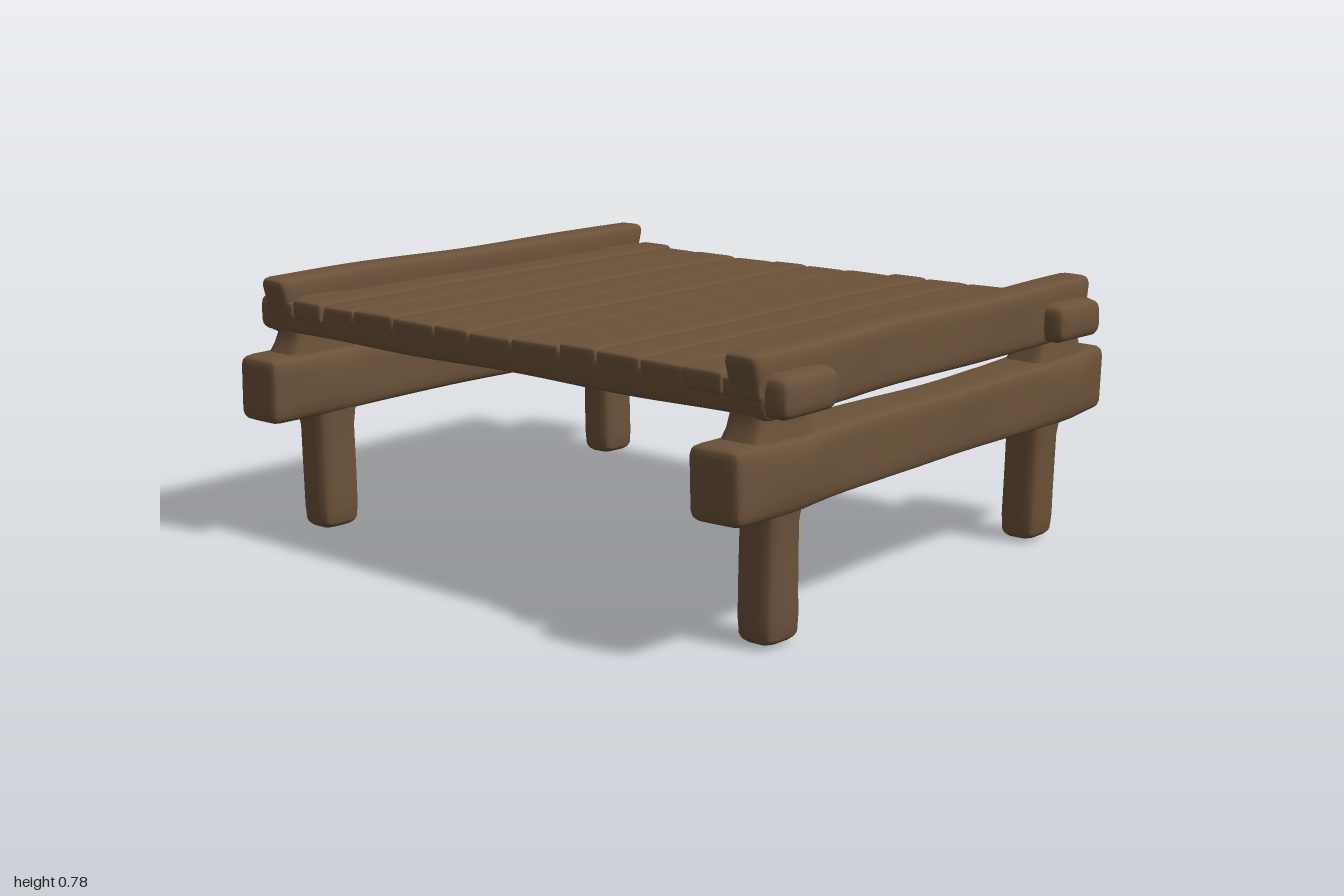
import * as THREE from 'three';
import { mergeVertices } from 'three/addons/utils/BufferGeometryUtils.js';

const wood = new THREE.MeshStandardMaterial({ color: 0x6b5239 });
wood.name = 'brown wood';

// Rounded, slightly uneven block given by its bounds [x0,x1], [y0,y1], [z0,z1].
function block(name, xs, ys, zs, r, warp, wobble = 0.004) {
  const lo = new THREE.Vector3(xs[0], ys[0], zs[0]);
  const hi = new THREE.Vector3(xs[1], ys[1], zs[1]);
  const half = hi.clone().sub(lo).multiplyScalar(0.5);
  const mid = hi.clone().add(lo).multiplyScalar(0.5);
  const seg = (h) => (h > 0.3 ? 32 : 8);
  let geo = new THREE.BoxGeometry(2, 2, 2, seg(half.x), seg(half.y), seg(half.z));
  geo.deleteAttribute('normal');
  geo.deleteAttribute('uv');
  geo = mergeVertices(geo);
  const pos = geo.attributes.position;
  const p = new THREE.Vector3();
  const core = new THREE.Vector3();
  const inner = half.clone().subScalar(r);
  for (let i = 0; i < pos.count; i++) {
    p.fromBufferAttribute(pos, i);
    // crowd the grid towards the edges, then round the corners
    for (const a of ['x', 'y', 'z']) p[a] = Math.sin(p[a] * Math.PI / 2) * half[a];
    core.copy(p).clamp(inner.clone().negate(), inner);
    p.sub(core).setLength(r).add(core).add(mid);
    p.x += wobble * Math.sin(p.z * 9 + p.y * 7 + mid.x * 5);
    p.y += wobble * Math.sin(p.x * 8 + p.z * 6 + mid.z * 4) * 0.7;
    if (warp) warp(p);
    pos.setXYZ(i, p.x, p.y, p.z);
  }
  geo.computeVertexNormals();
  const mesh = new THREE.Mesh(geo, wood);
  mesh.name = name;
  return mesh;
}

const range = (a, b, s) => (s > 0 ? [a, b] : [-b, -a]);

export function createModel() {
  const model = new THREE.Group();
  model.name = 'woodenPlatform';

  for (const s of [-1, 1]) {
    const side = s > 0 ? 'left' : 'right';

    // long ground beam, swelling outwards where the legs pass through
    model.add(block(side + 'LowerBeam', range(0.78, 0.945, s), [0.37, 0.56], [-0.885, 0.885], 0.03, (p) => {
      const swell = Math.exp(-(((Math.abs(p.z) - 0.66) / 0.11) ** 2));
      const belly = 1 - ((p.y - 0.465) / 0.13) ** 2;
      p.x += Math.sign(p.x - s * 0.86) * 0.022 * swell * belly;
      p.y -= 0.006 * Math.cos(p.z * 3) * (p.y > 0.46 ? 1 : 0);
    }));

    // top rail with ends that lean outwards
    model.add(block(side + 'Rail', range(0.825, 0.935, s), [0.61, 0.788], [-0.78, 0.78], 0.03, (p) => {
      p.z *= 1 + 0.34 * (p.y - 0.67);
    }));

    for (const e of [-1, 1]) {
      const corner = (e > 0 ? 'front' : 'back') + side[0].toUpperCase() + side.slice(1);

      // leg, flaring under the beam
      model.add(block(corner + 'Leg', range(0.785, 0.908, s), [0.008, 0.46], range(0.56, 0.703, e), 0.04, (p) => {
        const flare = 1 + 0.2 * Math.max(0, (p.y - 0.33) / 0.1);
        p.x = s * 0.847 + (p.x - s * 0.847) * Math.min(flare, 1.2);
        p.z = e * 0.632 + (p.z - e * 0.632) * Math.min(flare, 1.2);
      }));

      // post between beam and deck, spreading at its foot
      model.add(block(corner + 'Post', range(0.805, 0.92, s), [0.5, 0.67], range(0.565, 0.765, e), 0.03, (p) => {
        const foot = Math.max(0, (0.605 - p.y) / 0.06);
        p.z += Math.sign(p.z - e * 0.665) * 0.035 * Math.min(foot, 1.3);
        p.x += Math.sign(p.x - s * 0.86) * 0.01 * Math.min(foot, 1.3);
      }));

      // cross beam end standing out past the rail
      model.add(block(corner + 'BeamEnd', range(0.76, 0.995, s), [0.617, 0.73], range(0.54, 0.765, e), 0.035, (p) => {
        if (p.z * e < 0.65) p.z += e * 0.02 * Math.max(0, (0.9 - p.x * s) / 0.14);
      }));
    }
  }

  // cross beams carrying the deck
  for (const e of [-1, 1]) {
    model.add(block(e > 0 ? 'frontCrossBeam' : 'backCrossBeam', [-0.94, 0.94], [0.618, 0.712], range(0.57, 0.772, e), 0.025));
  }

  // deck: base sheet with planks of slightly different heights
  model.add(block('deckBase', [-0.92, 0.92], [0.655, 0.708], [-0.765, 0.765], 0.015, null, 0.001));
  const edges = [-0.93, -0.81, -0.685, -0.555, -0.39, -0.22, -0.085, 0.075, 0.25, 0.38, 0.53, 0.68, 0.81, 0.93];
  const tops = [0.72, 0.73, 0.722, 0.724, 0.72, 0.722, 0.719, 0.722, 0.729, 0.726, 0.725, 0.729, 0.72];
  for (let i = 0; i < tops.length; i++) {
    const reach = Math.abs(i - 6) > 4 ? 0.785 : 0.772;
    model.add(block('plank' + (i + 1), [edges[i], edges[i + 1]], [0.668, tops[i]], [-reach, reach], 0.014, null, 0.002));
  }

  return model;
}
